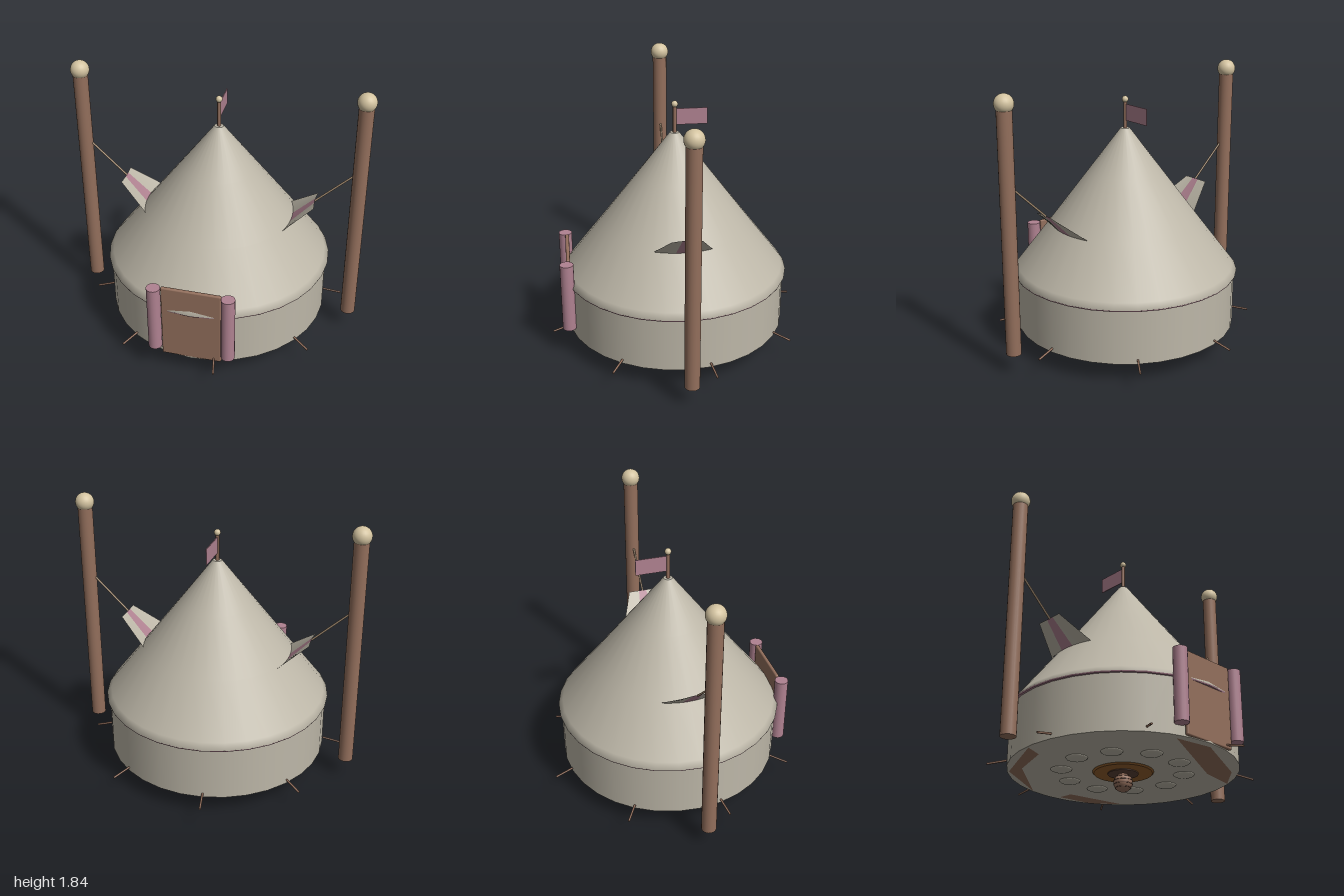
import * as THREE from 'three';
import { RoundedBoxGeometry } from 'three/addons/geometries/RoundedBoxGeometry.js';

const mat = (name, color, side = THREE.FrontSide) => {
  const m = new THREE.MeshStandardMaterial({ color, side });
  m.name = name;
  return m;
};

export function createModel() {
  const canvas = mat('canvas', 0xbdb7a8);
  const canvasFlap = mat('canvas flap', 0xbdb7a8, THREE.DoubleSide);
  const wood = mat('wood', 0x936f5c);
  const pink = mat('dusty pink', 0xb08291);
  const pinkCloth = mat('dusty pink cloth', 0xb08291, THREE.DoubleSide);
  const tan = mat('tan', 0xd3c3a0);
  const rope = mat('rope', 0xa58d72);
  const amber = mat('amber', 0x94602e);
  const darkWood = mat('dark wood', 0x5c4236);

  const model = new THREE.Group();
  model.name = 'tent';
  const add = (name, geometry, material, x = 0, y = 0, z = 0, parent = model) => {
    const mesh = new THREE.Mesh(geometry, material);
    mesh.name = name;
    mesh.position.set(x, y, z);
    parent.add(mesh);
    return mesh;
  };
  const V = (x, y, z) => new THREE.Vector3(x, y, z);
  const lathe = (pts, n) => new THREE.LatheGeometry(pts.map(([r, y]) => new THREE.Vector2(r, y)), n);
  const upright = (name, material, r, y0, y1, x = 0, z = 0, n = 16) =>
    add(name, new THREE.CylinderGeometry(r, r, y1 - y0, n), material, x, (y0 + y1) / 2, z);
  // Thin rod between two points
  const rod = (name, material, a, b, r) => {
    const mesh = add(name, new THREE.CylinderGeometry(r, r, a.distanceTo(b), 8), material);
    mesh.position.copy(a).lerp(b, 0.5);
    mesh.quaternion.setFromUnitVectors(V(0, 1, 0), b.clone().sub(a).normalize());
  };

  // Wall, roof and eave trim
  upright('wall', canvas, 0.75, 0.135, 0.51, 0, 0, 32);
  add('roof', lathe([[0.74, 0.512], [0.768, 0.512], [0.737, 0.552], [0.5, 0.863],
    [0.25, 1.197], [0.035, 1.485]], 32), canvas);
  add('roofTip', new THREE.CylinderGeometry(0.03, 0.036, 0.008, 32), canvas, 0, 1.487, 0);
  add('eaveTrim', new THREE.CylinderGeometry(0.767, 0.764, 0.008, 32), pink, 0, 0.507, 0);

  // Peak mast with ball and flag
  upright('mast', wood, 0.012, 1.48, 1.67, 0, 0, 10);
  add('mastBall', new THREE.SphereGeometry(0.022, 14, 10), tan, 0, 1.683, 0);
  add('flag', new THREE.BoxGeometry(0.006, 0.11, 0.21), pinkCloth, 0, 1.597, -0.112);

  // Door with rolled curtains
  add('door', new RoundedBoxGeometry(0.4, 0.55, 0.026, 2, 0.01), wood, 0, 0.415, 0.737);
  for (const s of [-1, 1]) upright('rolledCurtain', pink, 0.046, 0.2, 0.682, s * 0.247, 0.748, 18);

  // Panel of a window flap: a fan between an arc on the roof and the straight outer edge
  const flapPanel = (side, t0, t1) => {
    const n = 6, pos = [], index = [];
    for (let i = 0; i <= n; i++) {
      const t = t0 + (t1 - t0) * i / n;
      const zi = 0.19 * t;
      pos.push(side * Math.sqrt(0.506 ** 2 - zi ** 2), 0.855, zi);
      pos.push(side * (0.656 + 0.006 * t * t), 1.012 + 0.004 * (1 - t * t), 0.098 * t);
      const k = i * 2;
      if (i < n) index.push(...(side > 0 ? [k, k + 2, k + 1, k + 1, k + 2, k + 3]
        : [k, k + 1, k + 2, k + 1, k + 3, k + 2]));
    }
    const g = new THREE.BufferGeometry();
    g.setAttribute('position', new THREE.Float32BufferAttribute(pos, 3));
    g.setIndex(index);
    g.computeVertexNormals();
    return g;
  };

  // Side poles, their guy ropes and window flaps
  for (const s of [-1, 1]) {
    upright('sidePole', wood, 0.05, 0.135, 1.75, s * 0.936, 0, 20);
    add('sidePoleBall', new THREE.SphereGeometry(0.063, 24, 16), tan, s * 0.936, 1.78, 0);
    rod('flapRope', rope, V(s * 0.655, 1.012, 0), V(s * 0.9, 1.245, 0), 0.007);
    add('flapEdge', flapPanel(s, -1, -0.27), canvasFlap);
    add('flapStripe', flapPanel(s, -0.27, 0.27), pinkCloth);
    add('flapEdge', flapPanel(s, 0.27, 1), canvasFlap);
  }

  // Ground pegs around the wall
  for (let i = 0; i < 8; i++) {
    const a = (i * 45 - 11.5) * Math.PI / 180, c = Math.cos(a), s = Math.sin(a);
    rod('peg', wood, V(0.752 * c, 0.165, 0.752 * s), V(0.877 * c, 0.135, 0.877 * s), 0.007);
  }

  // Underside: domes, wood patches and a round boss
  for (let i = 0; i < 10; i++) {
    const a = i * Math.PI / 5;
    add('floorDome', new THREE.SphereGeometry(0.07, 16, 10), canvas,
      0.4 * Math.cos(a), 0.135, 0.4 * Math.sin(a)).scale.y = 0.26;
  }
  const patches = [
    [[0.48, -0.53], [0.325, -0.667], [0.067, -0.7], [0.075, -0.6]],
    [[0.67, 0.31], [0.42, 0.354], [-0.21, 0.67], [0.047, 0.706], [0.504, 0.488]],
    [[-0.16, -0.72], [-0.517, -0.395], [-0.613, -0.11], [-0.735, -0.06], [-0.54, -0.5]],
  ];
  for (const p of patches) {
    const shape = new THREE.Shape(p.map(([x, z]) => new THREE.Vector2(x, z)));
    add('floorPatch', new THREE.ShapeGeometry(shape).rotateX(Math.PI / 2), wood, 0, 0.133, 0);
  }
  add('floorBoss', new THREE.CylinderGeometry(0.2, 0.19, 0.012, 32), amber, 0, 0.13, 0);
  add('floorBossCentre', new THREE.CylinderGeometry(0.1, 0.1, 0.008, 24), darkWood, 0, 0.122, 0);

  // Hanging banded knob
  add('knob', new THREE.SphereGeometry(0.062, 24, 16), wood, 0, 0.062, 0);
  for (const h of [-0.036, -0.012, 0.012, 0.036]) {
    const ring = new THREE.TorusGeometry(Math.sqrt(0.062 ** 2 - h * h), 0.0025, 6, 24);
    add('knobBand', ring.rotateX(Math.PI / 2), darkWood, 0, 0.062 + h, 0);
  }
  return model;
}
